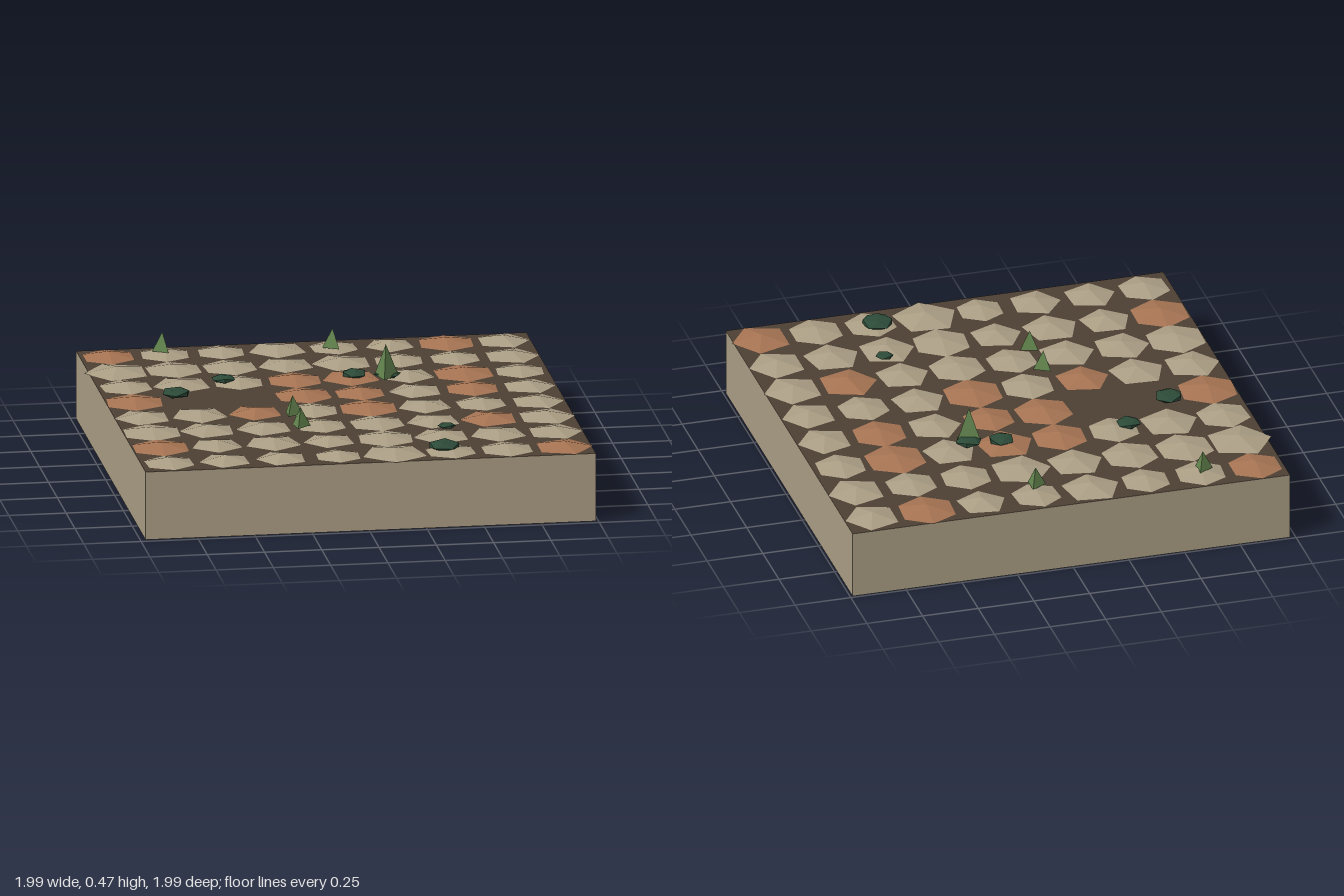
import * as THREE from 'three';

const mat = (name, color, side = THREE.FrontSide) => {
  const m = new THREE.MeshStandardMaterial({ color, side, flatShading: true });
  m.name = name;
  return m;
};

export function createModel() {
  const model = new THREE.Group();
  model.name = 'pavedGroundTile';
  const wallMat = mat('sandWall', 0xa99c83, THREE.DoubleSide);
  const soilMat = mat('darkSoil', 0x4d4034, THREE.DoubleSide);
  const stoneMat = mat('paleStone', 0xaa9d84);
  const clayMat = mat('clayStone', 0xa57352);
  const rockMat = mat('mossRock', 0x2c4a38);
  const grassMat = mat('grass', 0x62834d);

  const SIZE = 1.965, TOP = 0.303, CX = 0.006, CZ = -0.007;
  const add = (name, geometry, material, x, y, z, parent = model) => {
    const mesh = new THREE.Mesh(geometry, material);
    mesh.name = name;
    mesh.position.set(x, y, z);
    parent.add(mesh);
    return mesh;
  };

  // Hollow base: four thin walls and a soil sheet, open underneath
  const wallGeo = new THREE.PlaneGeometry(SIZE, TOP);
  for (let i = 0; i < 4; i++) {
    const a = (i * Math.PI) / 2;
    add('wall', wallGeo, wallMat, CX + Math.sin(a) * SIZE / 2, TOP / 2, CZ + Math.cos(a) * SIZE / 2).rotation.y = a;
  }
  add('soil', new THREE.PlaneGeometry(SIZE, SIZE), soilMat, CX, TOP, CZ).rotation.x = -Math.PI / 2;

  // Paving stones: h = six-sided, p = five-sided, capitals = clay, dot = missing.
  // Radii are in thousandths, one row per line from back to front.
  const rows = [
    ['Hhhphp' + 'Hp', [120, 115, 110, 130, 110, 110, 130, 120]],
    ['phhpphhp', [145, 130, 125, 125, 135, 115, 115, 125]],
    ['hphHPpHh', [120, 130, 115, 125, 130, 120, 138, 115]],
    ['H..HHpHp', [135, 0, 0, 130, 115, 120, 122, 120]],
    ['ppPhHphp', [125, 125, 120, 120, 135, 120, 115, 120]],
    ['hpphhpPp', [135, 125, 125, 115, 125, 120, 130, 130]],
    ['Hppphppp', [133, 115, 125, 115, 130, 125, 125, 125]],
    ['hpphphhP', [115, 115, 115, 105, 145, 115, 120, 130]],
  ];
  const stones = new THREE.Group();
  stones.name = 'pavingStones';
  model.add(stones);
  const H = 0.027;
  rows.forEach(([kinds, radii], j) => [...kinds].forEach((kind, i) => {
    if (kind === '.') return;
    const k = kind.toLowerCase();
    const clay = kind !== k;
    const geo = new THREE.ConeGeometry(radii[i] / 1000, H, k === 'h' ? 6 : 5);
    const stone = add(clay ? 'clayStone' : 'paleStone', geo, clay ? clayMat : stoneMat,
      -0.854 + 0.2456 * i, TOP + 0.001 + H / 2, -0.868 + 0.2456 * j, stones);
    // Slight turn so that neighbours differ
    const turn = Math.sin(i * 5.1 + j * 3.7) * 0.16;
    stone.rotation.y = k === 'h' ? turn * 0.5 : -Math.PI / 2 + (i && i < 7 ? turn + 0.12 : 0) + (i === 7 ? Math.PI : 0);
  }));

  // Flattened mossy rocks: x, z, radius
  [[-0.43, -0.37, 0.055], [-0.665, -0.18, 0.066], [0.14, -0.365, 0.06],
    [0.28, -0.34, 0.06], [0.408, 0.52, 0.04], [0.35, 0.83, 0.075]].forEach(([x, z, r], i) => {
    const rock = add('mossRock', new THREE.IcosahedronGeometry(r, 0), rockMat, x, 0.327, z);
    rock.scale.y = 0.32;
    rock.rotation.y = i * 0.9;
  });

  // Three-sided grass tufts: x, z, radius, height, turn
  [[-0.62, -0.865, 0.044, 0.085, -1.57], [0.115, -0.81, 0.046, 0.085, -1.57],
    [0.27, -0.31, 0.06, 0.145, -0.25], [-0.22, 0.225, 0.046, 0.085, 1.57],
    [-0.215, 0.42, 0.046, 0.085, 1.75]].forEach(([x, z, r, h, turn]) => {
    add('grassTuft', new THREE.ConeGeometry(r, h, 3), grassMat, x, 0.323 + h / 2, z).rotation.y = turn;
  });

  return model;
}
